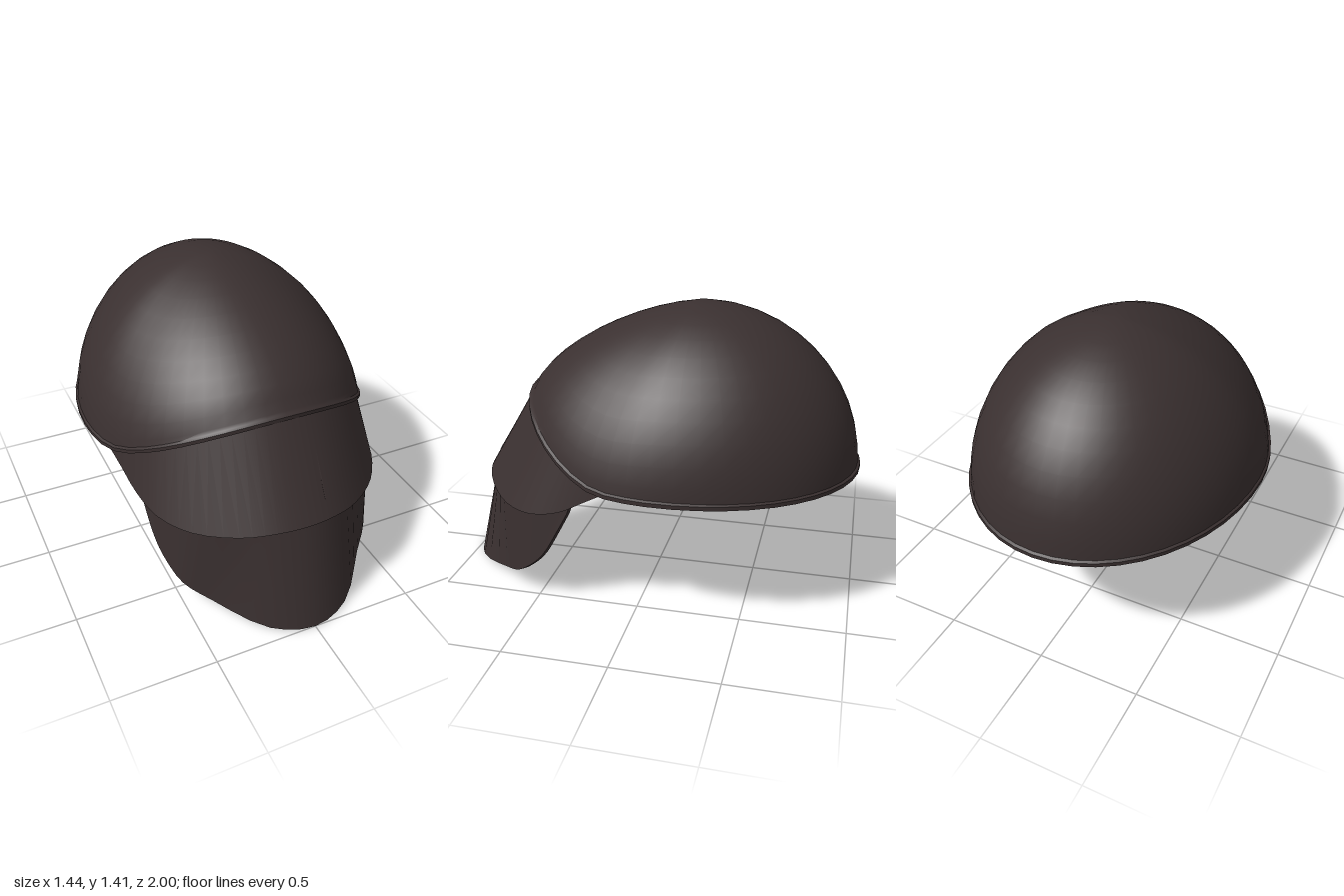
import * as THREE from 'three';
import { toCreasedNormals } from 'three/addons/utils/BufferGeometryUtils.js';

const APEX = new THREE.Vector3(0, 1.415, -0.2);

// Dome rim: egg-shaped plan, swept up to a peak at the front
function rim(a) {
  const c = Math.cos(a);
  const z = -0.1 + (c > 0 ? 0.75 : 0.9) * c;
  const y = z > 0.12
    ? 0.665 + 0.285 * Math.pow(Math.min(1, (z - 0.12) / 0.53), 1.5)
    : 0.665 - 0.025 * (0.12 - z) / 1.12;
  return new THREE.Vector3(0.72 * Math.sin(a), y, z);
}

// Skin a list of columns (each an array of points); optionally cap the two ends
function skin(columns, capped) {
  const pos = [];
  const tri = (...pts) => pts.forEach((p) => pos.push(p.x, p.y, p.z));
  for (let i = 0; i < columns.length - 1; i++) {
    const A = columns[i], B = columns[i + 1];
    for (let j = 0; j < A.length - 1; j++) {
      tri(A[j], A[j + 1], B[j]);
      tri(B[j], A[j + 1], B[j + 1]);
    }
  }
  if (capped) {
    const [s0, s1, s2, s3] = columns[0];
    const [e0, e1, e2, e3] = columns[columns.length - 1];
    tri(s0, s2, s1); tri(s0, s3, s2);
    tri(e0, e1, e2); tri(e0, e2, e3);
  }
  const g = new THREE.BufferGeometry();
  g.setAttribute('position', new THREE.Float32BufferAttribute(pos, 3));
  return toCreasedNormals(g, 0.6);
}

// Dome column at angle a: outer skin, small flared lip, inner skin
function domeColumn(a) {
  const r = rim(a), c = Math.cos(a), rows = 12, col = [];
  const p = c > 0 ? 1.8 - 0.3 * c : 1.8 - 0.2 * c;
  const at = (h, y) => new THREE.Vector3(r.x * h, y, APEX.z + (r.z - APEX.z) * h);
  const wall = (k, scale, top) => {
    const t = (k / rows) * Math.PI / 2;
    const h = Math.pow(Math.sin(t), 2 / p);
    const v = Math.pow(Math.max(0, Math.cos(t)), 2 / p);
    return at(h * scale, r.y + (top - r.y) * v);
  };
  for (let k = 0; k < rows; k++) col.push(wall(k, 0.985, APEX.y));
  col.push(at(0.985, r.y + 0.022), at(1, r.y + 0.015), at(1, r.y - 0.004));
  for (let k = rows; k >= 0; k--) col.push(wall(k, 0.955, APEX.y - 0.03));
  return col;
}

// Smooth curve through half a row of points, mirrored to the other side
function mirroredCurve(half) {
  const pts = half.map(([x, y, z]) => new THREE.Vector3(x, y, z));
  const other = pts.slice(1).reverse().map((p) => new THREE.Vector3(-p.x, p.y, p.z));
  return new THREE.CatmullRomCurve3([...other, ...pts]).getPoints(42);
}

// Curved plate of even thickness between a top and a bottom edge
function plate(top, bottom, thickness) {
  const T = mirroredCurve(top), B = mirroredCurve(bottom);
  const inward = (p) => {
    const d = new THREE.Vector3(-p.x, 0, -p.z).setLength(thickness);
    return p.clone().add(d);
  };
  return skin(T.map((t, i) => [t, B[i], inward(B[i]), inward(t), t]), true);
}

export function createModel() {
  const group = new THREE.Group();
  const shell = new THREE.MeshStandardMaterial({ color: 0x3a3030 });
  shell.name = 'dark brown shell';
  const add = (name, geometry) => {
    const mesh = new THREE.Mesh(geometry, shell);
    mesh.name = name;
    group.add(mesh);
    return mesh;
  };

  // Skull cap
  const columns = [];
  for (let i = 0; i <= 48; i++) columns.push(domeColumn((i / 48) * Math.PI * 2));
  add('dome', skin(columns, false));

  // Brow band, tucked under the dome rim
  const bandTop = [0, 0.15, 0.3, 0.43, 0.54, 0.61, 0.66, 0.69].map((x) => {
    const r = rim(Math.asin(x / 0.72));
    return [r.x * 0.97, r.y + 0.005, r.z * 0.98];
  });
  const bandBottom = [
    [0, 0.525, 0.89], [0.15, 0.52, 0.87], [0.3, 0.495, 0.8], [0.47, 0.475, 0.66],
    [0.575, 0.485, 0.5], [0.62, 0.53, 0.34], [0.645, 0.6, 0.22], [0.668, 0.66, 0.12],
  ];
  add('browBand', plate(bandTop, bandBottom, 0.025));

  // Lower face plate, set just inside the band
  const plateTop = [
    [0, 0.56, 0.85], [0.15, 0.56, 0.83], [0.3, 0.54, 0.76], [0.46, 0.52, 0.63],
    [0.55, 0.52, 0.46], [0.575, 0.53, 0.36], [0.582, 0.54, 0.32], [0.586, 0.54, 0.3],
  ];
  const plateBottom = [
    [0, 0.005, 1], [0.2, 0.015, 0.93], [0.4, 0.075, 0.71], [0.5, 0.13, 0.6],
    [0.545, 0.21, 0.5], [0.565, 0.28, 0.44], [0.58, 0.4, 0.37], [0.586, 0.51, 0.31],
  ];
  add('facePlate', plate(plateTop, plateBottom, 0.02));

  // Thin seam on the band
  const seam = add('bandSeam', new THREE.BoxGeometry(0.006, 0.3, 0.008));
  seam.position.set(0.11, 0.73, 0.752);
  seam.rotation.x = -Math.atan2(0.25, 0.41);

  return group;
}
